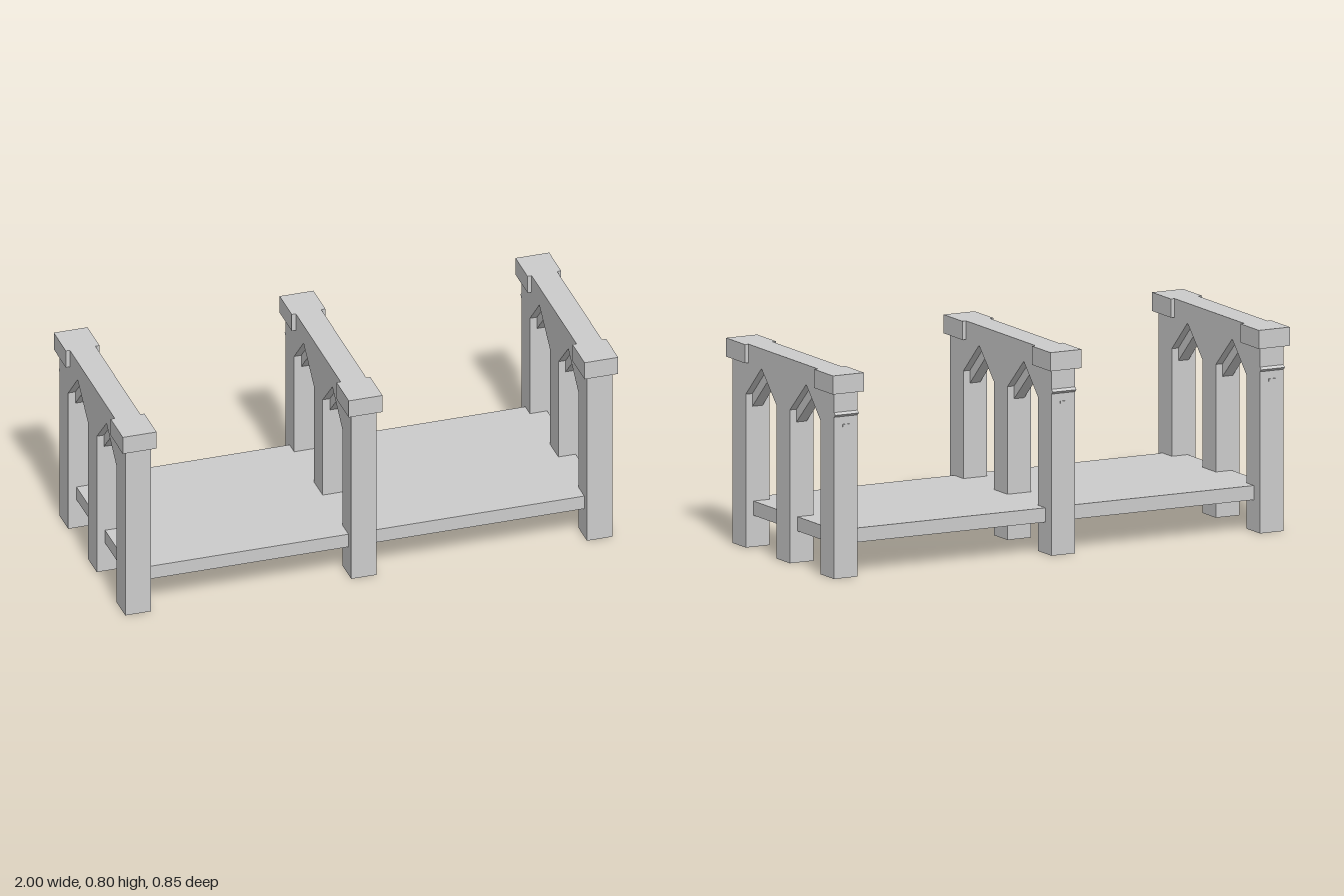
import * as THREE from 'three';

const material = new THREE.MeshStandardMaterial({ color: 0xcccccc, flatShading: true });

function add(parent, name, geometry) {
  const mesh = new THREE.Mesh(geometry, material);
  mesh.name = name;
  parent.add(mesh);
  return mesh;
}

// Box given by its minimum and maximum corners
function box(parent, name, min, max) {
  const size = max.map((v, i) => v - min[i]);
  const mesh = add(parent, name, new THREE.BoxGeometry(...size));
  mesh.position.set(...max.map((v, i) => (v + min[i]) / 2));
  return mesh;
}

// Extrudes a [z, y] outline along x, centred on x = 0
function profile(parent, name, points, width) {
  const shape = new THREE.Shape(points.map(([z, y]) => new THREE.Vector2(-z, y)));
  const geometry = new THREE.ExtrudeGeometry(shape, { depth: width, bevelEnabled: false });
  geometry.translate(0, 0, -width / 2).rotateY(Math.PI / 2);
  return add(parent, name, geometry);
}

// The two pointed openings: front edge, apex and back edge in z
const openings = [
  { front: 0.3, apex: 0.175, back: 0.055 },
  { front: -0.052, apex: -0.182, back: -0.298 },
];
const SPRING = 0.6, APEX = 0.722, TRIM = 0.05, WIDTH = 0.103;

function archFrame(name) {
  const frame = new THREE.Group();
  frame.name = name;

  // Three posts joined by the wall above the openings
  const outline = [[-0.405, 0], [-0.405, 0.8], [0.408, 0.8], [0.408, 0]];
  for (const { front, apex, back } of openings) {
    outline.push([front, 0], [front, SPRING], [apex, APEX], [back, SPRING], [back, 0]);
  }
  profile(frame, 'postsAndWall', outline, WIDTH);

  // Narrow braces under each pointed arch
  for (const { front, apex, back } of openings) {
    profile(frame, 'archBrace', [
      [front, SPRING - TRIM], [front, SPRING], [apex, APEX],
      [back, SPRING], [back, SPRING - TRIM], [apex, APEX - TRIM],
    ], 0.045);
  }

  // Caps on the end posts
  box(frame, 'frontCap', [-0.068, 0.727, 0.278], [0.068, 0.8, 0.428]);
  box(frame, 'backCap', [-0.068, 0.727, -0.426], [0.068, 0.8, -0.277]);

  // Wedge moulding and small peg on the back post
  profile(frame, 'backMoulding', [[-0.4, 0.656], [-0.415, 0.642], [-0.4, 0.628]], WIDTH);
  box(frame, 'backPeg', [-0.015, 0.592, -0.409], [0.015, 0.602, -0.4]);
  return frame;
}

export function createModel() {
  const model = new THREE.Group();
  model.name = 'archedPlatform';

  box(model, 'deck', [-0.95, 0.123, -0.355], [0.95, 0.179, 0.374]);

  const frames = [['rightFrame', -0.932], ['middleFrame', -0.02], ['leftFrame', 0.932]];
  for (const [name, x] of frames) {
    const frame = archFrame(name);
    frame.position.x = x;
    model.add(frame);
  }
  return model;
}
